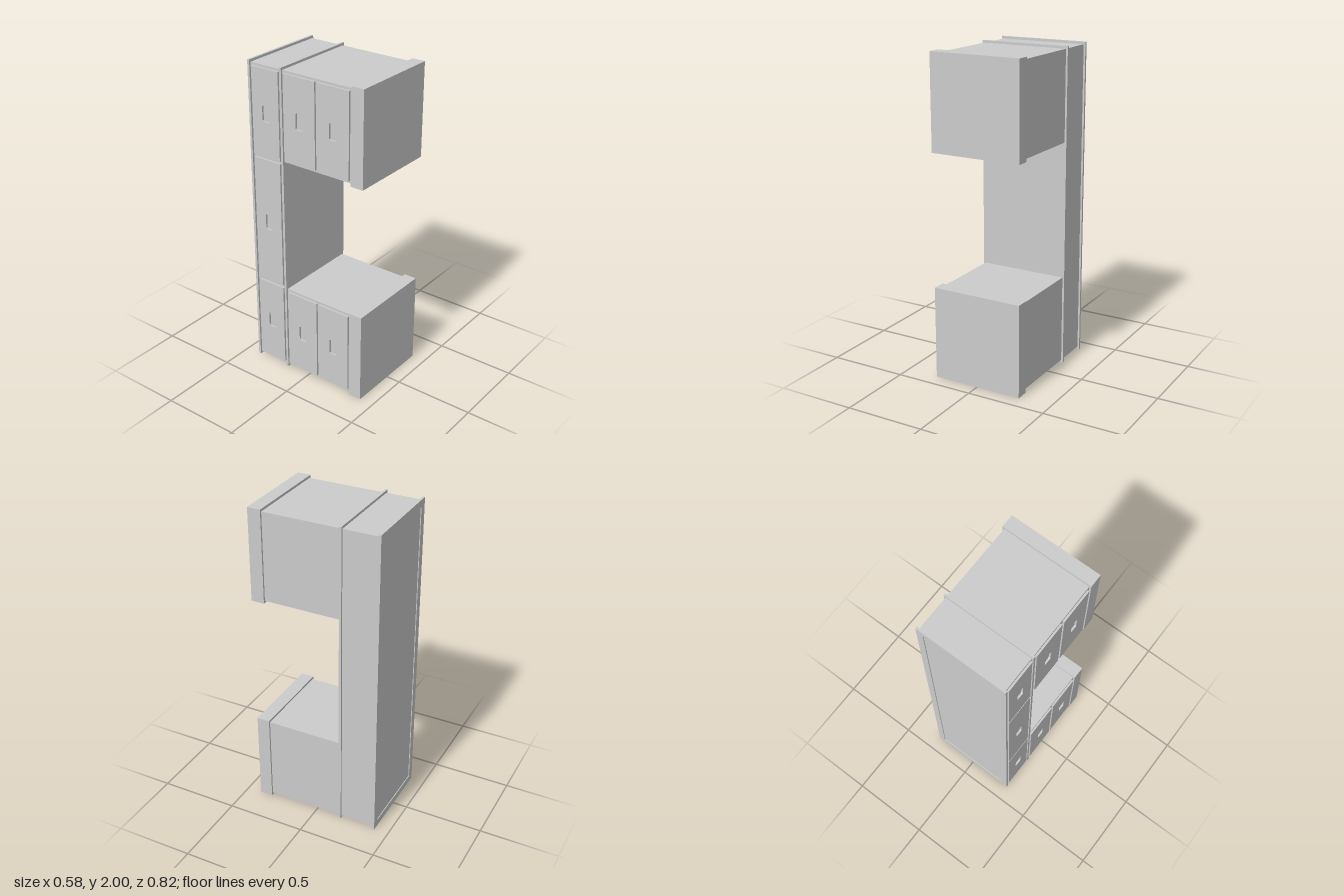
import * as THREE from 'three';

const material = new THREE.MeshStandardMaterial({ color: 0xcccccc, flatShading: true });

// Box given by its lower and upper bounds on each axis
function box(name, [x0, x1], [y0, y1], [z0, z1]) {
  const mesh = new THREE.Mesh(new THREE.BoxGeometry(x1 - x0, y1 - y0, z1 - z0), material);
  mesh.position.set((x0 + x1) / 2, (y0 + y1) / 2, (z0 + z1) / 2);
  mesh.name = name;
  return mesh;
}

// Rectangle centred on the origin, with optionally cut corners
function rect(path, w, h, c = 0) {
  const a = w / 2, b = h / 2;
  const points = c
    ? [[-a + c, -b], [a - c, -b], [a, -b + c], [a, b - c], [a - c, b], [-a + c, b], [-a, b - c], [-a, -b + c]]
    : [[-a, -b], [a, -b], [a, b], [-a, b]];
  return path.setFromPoints(points.map(([x, y]) => new THREE.Vector2(x, y)));
}

// Drawer front on the -x side with a recessed grip
function drawer(name, [y0, y1], [z0, z1]) {
  const group = new THREE.Group();
  group.name = name;
  const shape = rect(new THREE.Shape(), z1 - z0, y1 - y0);
  shape.holes.push(rect(new THREE.Path(), 0.05, 0.1, 0.006));
  const geometry = new THREE.ExtrudeGeometry(shape, { depth: 0.012, bevelEnabled: false });
  geometry.rotateY(-Math.PI / 2);
  const front = new THREE.Mesh(geometry, material);
  front.name = 'drawerFront';
  front.position.set(-0.278, (y0 + y1) / 2, (z0 + z1) / 2);
  group.add(front);
  return group;
}

export function createModel() {
  const model = new THREE.Group();
  model.name = 'deskOnItsSide';
  const outer = [-0.29, 0.29], inner = [-0.278, 0.278];

  // Desktop: raised border around a sunken writing surface
  const border = rect(new THREE.Shape(), 0.58, 2);
  border.holes.push(rect(new THREE.Path(), 0.49, 1.91));
  const rim = new THREE.Mesh(
    new THREE.ExtrudeGeometry(border, { depth: 0.015, bevelEnabled: false }), material);
  rim.name = 'desktopBorder';
  rim.position.set(0, 1, -0.408);
  model.add(rim, box('writingSurface', [-0.25, 0.25], [0.04, 1.96], [-0.403, -0.394]));

  // Apron and the moulding board below it
  model.add(box('apron', inner, [0.015, 1.985], [-0.394, -0.17]));
  model.add(box('mouldingBoard', outer, [0, 2], [-0.175, -0.16]));

  // Apron drawers
  for (const span of [[0.03, 0.575], [0.59, 1.41], [1.425, 1.97]]) {
    model.add(drawer('apronDrawer', span, [-0.38, -0.185]));
  }

  // Two pedestals, each with a plinth and two drawers
  for (const upper of [false, true]) {
    const span = (a, b) => (upper ? [2 - b, 2 - a] : [a, b]);
    const pedestal = new THREE.Group();
    pedestal.name = upper ? 'upperPedestal' : 'lowerPedestal';
    pedestal.add(box('pedestalBody', inner, span(0.015, 0.572), [-0.165, 0.33]));
    pedestal.add(box('plinth', outer, span(0, 0.585), [0.325, 0.408]));
    for (const z of [[-0.147, 0.075], [0.09, 0.311]]) {
      pedestal.add(drawer('pedestalDrawer', span(0.03, 0.557), z));
    }
    model.add(pedestal);
  }
  return model;
}
